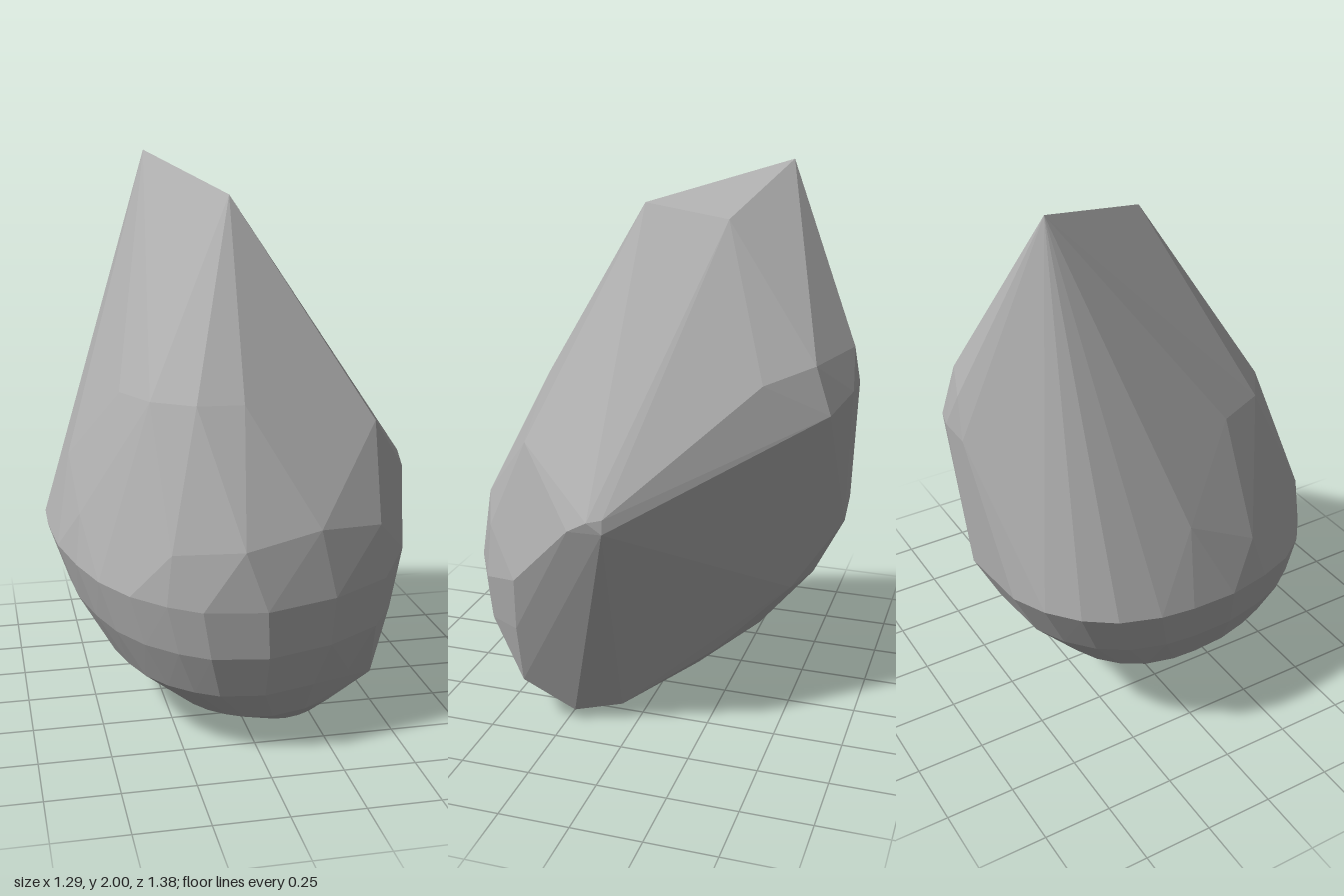
import * as THREE from 'three';
import { ConvexGeometry } from 'three/addons/geometries/ConvexGeometry.js';

// Widest outline of the rounded belly (x, z), from the front right round to the back
const belly = [
  [0.46, 0.51], [0.25, 0.625], [0, 0.69], [-0.21, 0.66], [-0.32, 0.6], [-0.43, 0.51],
  [-0.52, 0.39], [-0.58, 0.25], [-0.63, 0.08], [-0.65, -0.1], [-0.65, -0.23],
  [-0.62, -0.38], [-0.56, -0.49], [-0.47, -0.58], [-0.36, -0.64], [-0.1, -0.665],
];

// Belly rings from the widest down: scale, x shift, z shift, height, tilt along z
const rings = [
  [1, 0, 0, 0.64, -0.12],
  [0.91, 0.01, 0.045, 0.455, -0.1],
  [0.72, 0.01, 0.115, 0.26, -0.05],
  [0.49, 0.06, 0.18, 0.11, -0.01],
  [0.22, 0.14, 0.22, 0.017, 0],
];

// Sharp corners of the chipped upper part and the flat flank
const corners = [
  // ridge
  [-0.23, 2, -0.41], [0, 1.86, 0.065], [0.03, 1.82, -0.245],
  // back shoulder
  [-0.09, 1.38, -0.675], [0.14, 1.36, -0.585], [0.26, 1.31, -0.43],
  [0.14, 1.19, -0.64], [-0.01, 1.24, -0.69], [-0.14, 1.24, -0.69],
  // side point
  [0.635, 0.87, 0.01], [0.645, 0.91, 0.06], [0.64, 0.87, 0.13], [0.63, 0.92, 0.01],
  // flat flank
  [0.08, 0.51, -0.51], [0.14, 0.25, -0.25], [0.28, 0.04, 0.07], [0.38, 0.045, 0.22],
  [0.15, 0, 0.08], [0.45, 0.18, 0.39], [0.52, 0.42, 0.38], [0.57, 0.63, 0.36],
  // front shoulder
  [0.46, 1.1, 0.35], [0.44, 0.77, 0.5], [0.2, 0.8, 0.61], [-0.07, 0.76, 0.67],
  [-0.3, 0.74, 0.59], [-0.56, 0.78, 0.2],
  [-0.03, 1.2, 0.46], [-0.19, 1.2, 0.45], [-0.33, 1.2, 0.35], [-0.41, 1.2, 0.17],
  [-0.57, 0.93, -0.07],
];

export function createModel() {
  const stoneGrey = new THREE.MeshStandardMaterial({ color: 0xb0b0b0, flatShading: true });
  stoneGrey.name = 'stone grey';

  const points = corners.map((c) => new THREE.Vector3(...c));
  for (const [s, dx, dz, y, tilt] of rings) {
    for (const [px, pz] of belly) {
      const z = pz * s + dz;
      points.push(new THREE.Vector3(px * s + dx, y + tilt * z, z));
    }
  }

  // Convex faceted stone
  const rock = new THREE.Mesh(new ConvexGeometry(points), stoneGrey);
  rock.name = 'rock';

  const group = new THREE.Group();
  group.name = 'pointedRock';
  group.add(rock);
  return group;
}
